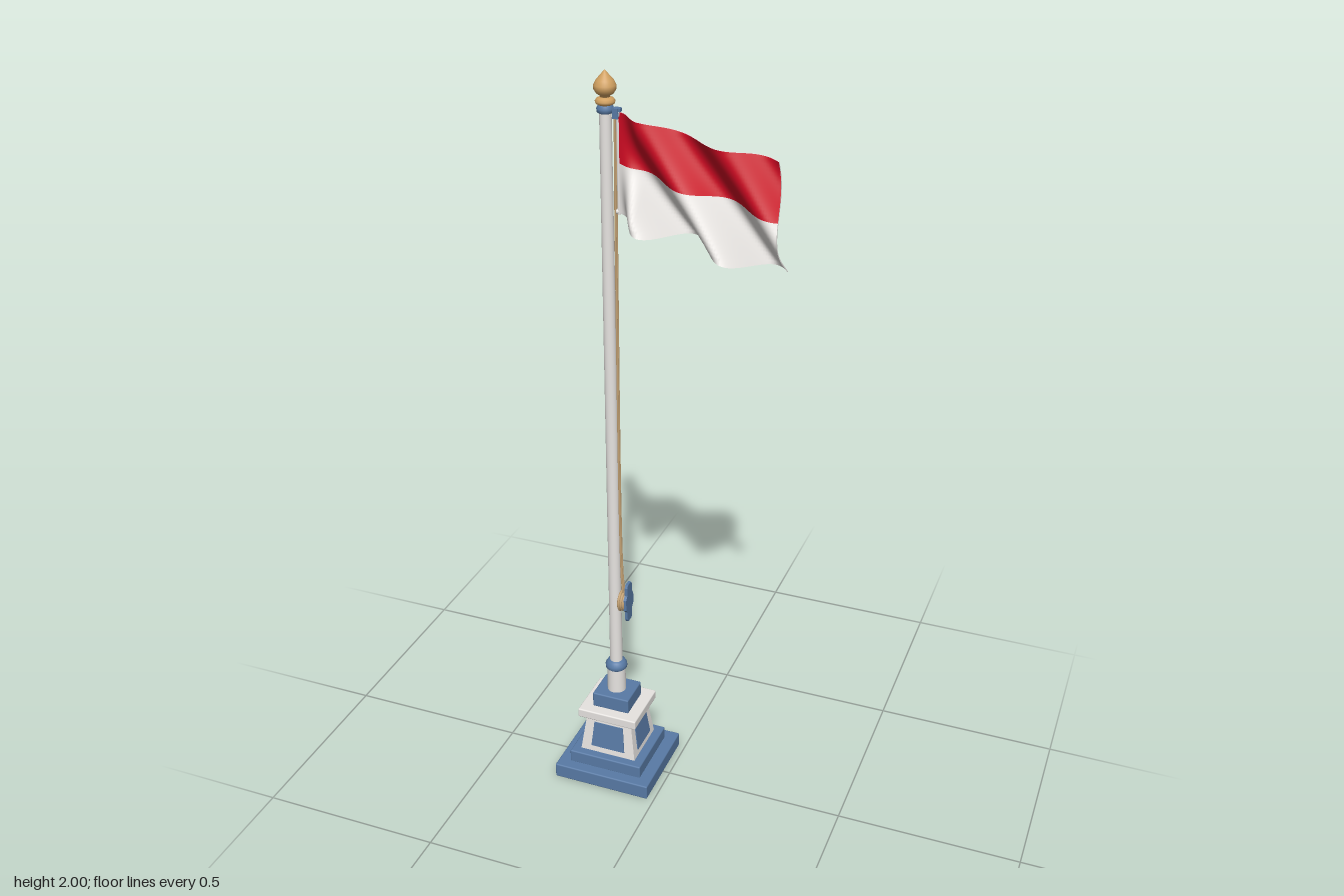
import * as THREE from 'three';
import { RoundedBoxGeometry } from 'three/addons/geometries/RoundedBoxGeometry.js';

const mat = (name, color) => {
  const m = new THREE.MeshStandardMaterial({ color });
  m.name = name;
  return m;
};

export function createModel() {
  const root = new THREE.Group();
  root.name = 'flagpole';
  const blue = mat('slate blue', 0x587aa5);
  const white = mat('off white', 0xe6e3e0);
  const red = mat('flag red', 0xcc0a22);
  const gold = mat('gold', 0xd0a060);
  const rope = mat('rope tan', 0xc4a274);

  const PX = -0.159; // pole axis
  const RATIO = 0.918; // depth of the plinth relative to its width

  const add = (name, geo, material, x = PX, y = 0, z = 0, parent = root) => {
    const m = new THREE.Mesh(geo, material);
    m.name = name;
    m.position.set(x, y, z);
    parent.add(m);
    return m;
  };
  const slab = (name, w, y0, y1, material, r = 0.004) =>
    add(name, new RoundedBoxGeometry(w, y1 - y0, w * RATIO, 2, r), material, PX, (y0 + y1) / 2);
  const frustum = (name, w0, d0, w1, d1, y0, y1, material) => {
    const g = new THREE.BoxGeometry(1, 1, 1);
    const p = g.attributes.position;
    for (let i = 0; i < p.count; i++) {
      const top = p.getY(i) > 0;
      p.setXYZ(i, p.getX(i) * (top ? w1 : w0), top ? y1 : y0, p.getZ(i) * (top ? d1 : d0));
    }
    g.computeVertexNormals();
    return add(name, g, material);
  };
  const lathe = (name, pts, material, seg = 32) =>
    add(name, new THREE.LatheGeometry(pts.map(([r, y]) => new THREE.Vector2(r, y)), seg), material);
  const cyl = (name, r0, r1, y0, y1, material, x = PX, z = 0, seg = 32) =>
    add(name, new THREE.CylinderGeometry(r1, r0, y1 - y0, seg), material, x, (y0 + y1) / 2, z);

  // Stepped plinth
  slab('lowerStep', 0.28, 0, 0.043, blue);
  slab('upperStep', 0.213, 0.04, 0.079, blue);
  const bodyW = (y) => 0.163 - 0.031 * (y - 0.078) / 0.116;
  frustum('plinthBody', bodyW(0.078), bodyW(0.078) * RATIO, bodyW(0.194), bodyW(0.194) * RATIO, 0.078, 0.194, white);
  slab('plinthCap', 0.173, 0.192, 0.219, white);
  slab('poleBlock', 0.107, 0.217, 0.262, blue);

  // Inset-coloured panels, standing just proud of the four sloping sides
  const [a, b] = [0.097, 0.174];
  const out = 0.005;
  frustum('frontBackPanels', 0.1, bodyW(a) * RATIO + out, 0.086, bodyW(b) * RATIO + out, a, b, blue);
  frustum('sidePanels', bodyW(a) + out, 0.1 * RATIO, bodyW(b) + out, 0.086 * RATIO, a, b, blue);

  // Pole with socket and collar
  cyl('poleSocket', 0.026, 0.025, 0.26, 0.338, white);
  lathe('poleCollar', [[0.026, 0.334], [0.03, 0.338], [0.03, 0.348], [0.024, 0.358], [0.016, 0.362]], blue);
  cyl('pole', 0.0175, 0.0145, 0.33, 1.925, white);

  // Head fitting and finial
  lathe('headCollar', [[0.014, 1.9], [0.02, 1.903], [0.021, 1.912], [0.017, 1.92], [0.014, 1.922]], blue);
  lathe('finialRing', [[0.013, 1.918], [0.022, 1.923], [0.024, 1.929], [0.02, 1.935], [0.011, 1.938]], gold);
  lathe('finial', [[0.01, 1.934], [0.012, 1.941], [0.021, 1.947], [0.027, 1.957], [0.0265, 1.966],
    [0.021, 1.977], [0.012, 1.987], [0.005, 1.995], [0, 2]], gold);

  // Pulley beside the head
  add('pulleyArm', new THREE.BoxGeometry(0.034, 0.008, 0.012), blue, -0.137, 1.911);
  for (const s of [-1, 1])
    add('pulleyCheek', new THREE.BoxGeometry(0.014, 0.024, 0.003), blue, -0.131, 1.903, s * 0.008);
  add('pulleyWheel', new THREE.CylinderGeometry(0.009, 0.009, 0.012, 20).rotateX(Math.PI / 2), white, -0.131, 1.901);

  // Halyard lines
  for (const s of [-1, 1]) {
    const line = new THREE.CatmullRomCurve3([
      new THREE.Vector3(-0.131, 0.57, s * 0.006), new THREE.Vector3(-0.137, 0.64, s * 0.004),
      new THREE.Vector3(-0.137, 1.6, s * 0.004), new THREE.Vector3(-0.134, 1.9, s * 0.004)]);
    add('halyard', new THREE.TubeGeometry(line, 40, 0.0028, 8), rope, 0);
  }

  // Cleat: post, horned plate and wound rope
  const cleat = new THREE.Group();
  cleat.name = 'cleat';
  cleat.position.y = 0.562;
  root.add(cleat);
  add('cleatPost', new THREE.BoxGeometry(0.036, 0.034, 0.022), blue, -0.135, 0, 0, cleat);
  const half = [[0.011, -0.058], [0.016, -0.05], [0.016, -0.026], [0.025, -0.016],
    [0.025, 0.016], [0.016, 0.026], [0.016, 0.05], [0.011, 0.058]];
  const outline = [...half, ...half.map(([z, y]) => [-z, y]).reverse()];
  const plate = new THREE.ExtrudeGeometry(new THREE.Shape(outline.map(([z, y]) => new THREE.Vector2(z, y))),
    { depth: 0.008, bevelEnabled: false });
  plate.rotateY(Math.PI / 2);
  add('cleatHorns', plate, blue, -0.124, 0, 0, cleat);
  for (let i = 0; i < 3; i++) {
    const coil = new THREE.TorusGeometry(0.025, 0.0038, 10, 32).rotateY(Math.PI / 2);
    add('ropeCoil', coil, rope, -0.139 + i * 0.0065, 0, 0, cleat).scale.set(1, 1.1 - i * 0.08, 1);
  }

  // Waving flag: a thin slab, bent by folds that run diagonally downwards
  const NX = 72, NY = 32;
  const flag = new THREE.BoxGeometry(1, 1, 1, NX, NY, 1);
  const p = flag.attributes.position;
  for (let i = 0; i < p.count; i++) {
    const u = p.getX(i) + 0.5, v = 0.5 - p.getY(i);
    const x = -0.127 + u * (0.39 + 0.03 * v);
    const fade = THREE.MathUtils.smoothstep(u, 0, 0.16);
    const wave = Math.cos(2 * Math.PI * (x + 0.07 - 0.23 * v) / 0.205);
    const z = fade * (0.02 + 0.018 * v * v + (0.021 + 0.037 * v * v) * wave);
    const y = 1.907 - 0.243 * v - u * (0.074 + 0.012 * v) + 0.004 * Math.sin(u * 9) * (1 - 2 * v);
    p.setXYZ(i, x, y, z + p.getZ(i) * 0.005);
  }
  flag.computeVertexNormals();
  const rim = flag.groups[4].start, face = NX * NY * 6;
  flag.clearGroups();
  flag.addGroup(0, rim, 1);
  for (let f = 0; f < 2; f++)
    for (let h = 0; h < 2; h++) flag.addGroup(rim + f * face + h * face / 2, face / 2, h);
  add('flag', flag, [red, white], 0);

  // Hoist edge with its toggles
  cyl('hoistSleeve', 0.0042, 0.0042, 1.66, 1.909, white, -0.128, 0, 12);
  for (const y of [1.667, 1.9])
    add('hoistToggle', new THREE.SphereGeometry(0.0065, 14, 10), white, -0.132, y);

  return root;
}
